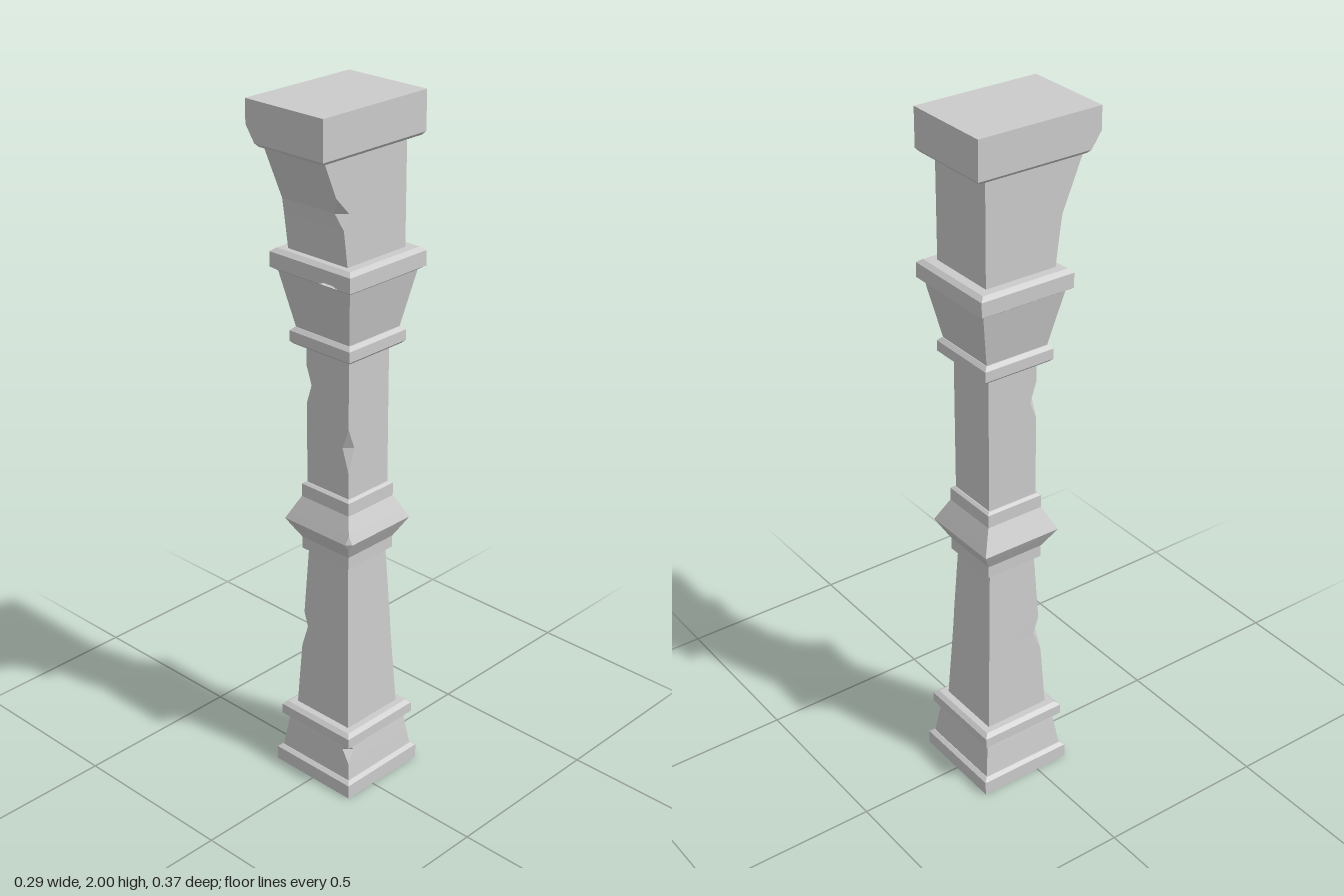
import * as THREE from 'three';

const AXIS_Z = -0.042; // depth of the shaft's centre line
const material = new THREE.MeshStandardMaterial({ color: 0xcccccc, flatShading: true, side: THREE.DoubleSide });

// Ring: y, half width, optional chips on the front corners (left = +x, right = -x), optional front / back depth
const ring = (y, h, { left = 0, right = 0, front = AXIS_Z + h, back = AXIS_Z - h } = {}) => [
  [-h, y, front - right], [-h + right, y, front],
  [h - left, y, front], [h, y, front - left],
  [h, y, back], [-h, y, back],
];

// Capped loft through a stack of six-point rings
function loft(name, rings) {
  const pos = [];
  const tri = (a, b, c) => {
    const area = new THREE.Triangle(new THREE.Vector3(...a), new THREE.Vector3(...b), new THREE.Vector3(...c)).getArea();
    if (area > 1e-8) pos.push(...a, ...b, ...c);
  };
  for (let i = 0; i + 1 < rings.length; i++) {
    const lo = rings[i], up = rings[i + 1];
    for (let j = 0; j < 6; j++) {
      const k = (j + 1) % 6;
      tri(lo[j], lo[k], up[k]);
      tri(lo[j], up[k], up[j]);
    }
  }
  const bottom = rings[0], top = rings[rings.length - 1];
  for (let j = 1; j < 5; j++) {
    tri(top[0], top[j], top[j + 1]);
    tri(bottom[0], bottom[j + 1], bottom[j]);
  }
  const g = new THREE.BufferGeometry();
  g.setAttribute('position', new THREE.Float32BufferAttribute(pos, 3));
  g.computeVertexNormals();
  const mesh = new THREE.Mesh(g, material);
  mesh.name = name;
  return mesh;
}

export function createModel() {
  const post = new THREE.Group();
  post.name = 'post';

  // Foot
  post.add(loft('plinth', [ring(0, 0.143), ring(0.042, 0.143), ring(0.05, 0.132)]));
  post.add(loft('base', [
    ring(0.05, 0.13), ring(0.1, 0.123), ring(0.135, 0.118, { left: 0.022 }), ring(0.155, 0.115),
  ]));
  post.add(loft('baseBand', [
    ring(0.15, 0.12), ring(0.16, 0.132), ring(0.19, 0.132), ring(0.2, 0.12),
  ]));

  // Tapered lower shaft with a chipped edge
  post.add(loft('lowerShaft', [
    ring(0.2, 0.1), ring(0.39, 0.09), ring(0.45, 0.087, { right: 0.02 }),
    ring(0.5, 0.085), ring(0.705, 0.075),
  ]));

  // Pointed knuckle in the middle
  post.add(loft('knuckle', [
    ring(0.702, 0.08), ring(0.708, 0.088), ring(0.743, 0.088), ring(0.78, 0.109),
    ring(0.802, 0.121, { left: 0.014 }), ring(0.825, 0.11), ring(0.87, 0.088),
    ring(0.908, 0.088), ring(0.914, 0.08),
  ]));

  // Straight upper shaft, chipped on both front edges
  post.add(loft('upperShaft', [
    ring(0.912, 0.077), ring(0.99, 0.077), ring(1.06, 0.077, { left: 0.022 }), ring(1.12, 0.077),
    ring(1.15, 0.077), ring(1.2, 0.077, { right: 0.02 }), ring(1.26, 0.077), ring(1.325, 0.077),
  ]));

  // Collar and flared capital
  post.add(loft('collar', [
    ring(1.322, 0.1), ring(1.33, 0.108), ring(1.36, 0.108), ring(1.37, 0.098),
  ]));
  post.add(loft('flare', [ring(1.365, 0.095), ring(1.53, 0.128)]));

  // Upper band: its front is a thin slab with a nick in the lower edge
  const h = 0.143, slab = 0.012;
  const recess = { front: AXIS_Z + h - slab };
  post.add(loft('upperBand', [
    ring(1.528, 0.128), ring(1.538, h), ring(1.538, h, recess),
    ring(1.58, h, recess), ring(1.58, h), ring(1.59, 0.13),
  ]));
  const outline = new THREE.Shape([
    [-h, 1.538], [0.035, 1.538], [0.065, 1.55], [0.1, 1.538], [h, 1.538], [h, 1.58], [-h, 1.58],
  ].map(([x, y]) => new THREE.Vector2(x, y)));
  const face = new THREE.Mesh(
    new THREE.ExtrudeGeometry(outline, { depth: slab, bevelEnabled: false }), material);
  face.position.z = AXIS_Z + h - slab;
  face.name = 'upperBandFace';
  post.add(face);

  // Neck leaning forward under the cap, with a chipped front edge
  const back = -0.145;
  post.add(loft('neck', [
    ring(1.585, 0.105, { front: 0.07, back }),
    ring(1.69, 0.105, { front: 0.084, back }),
    ring(1.73, 0.105, { front: 0.09, back, left: 0.025 }),
    ring(1.78, 0.105, { front: 0.111, back }),
    ring(1.89, 0.105, { front: 0.157, back }),
  ]));

  // Cap with a broken lower corner
  post.add(loft('cap', [
    ring(1.883, 0.125, { front: 0.177, back: -0.177, right: 0.03 }),
    ring(1.892, 0.133, { front: 0.185, back: -0.185, right: 0.03 }),
    ring(1.935, 0.133, { front: 0.185, back: -0.185 }),
    ring(2, 0.133, { front: 0.185, back: -0.185 }),
  ]));

  return post;
}
